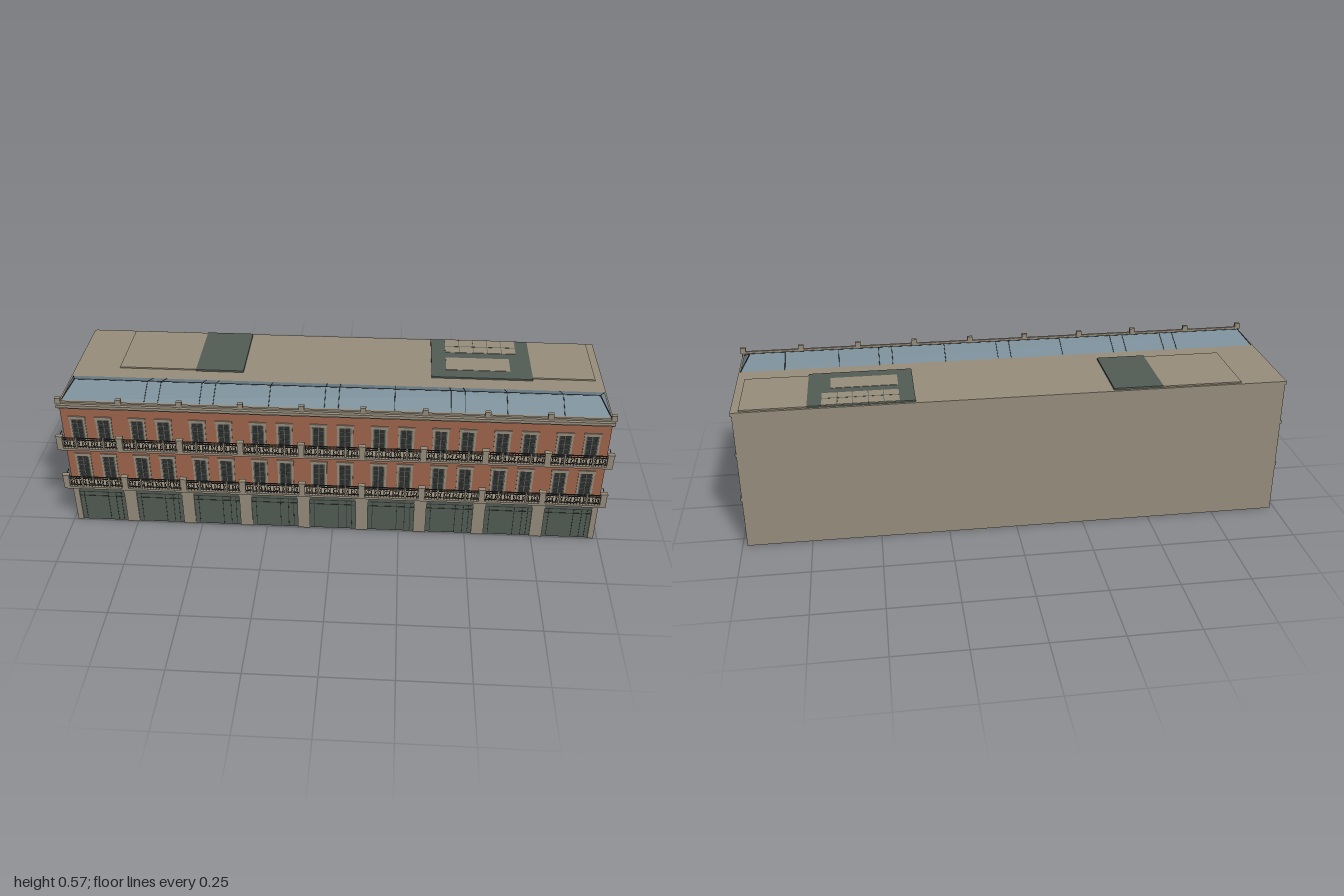
import * as THREE from 'three';

const mat = (name, color) => {
  const m = new THREE.MeshStandardMaterial({ color });
  m.name = name;
  return m;
};

export function createModel() {
  const root = new THREE.Group();
  root.name = 'arcadeBuilding';
  const stone = mat('stone', 0x988e7d);
  const brick = mat('brick', 0xa0664c);
  const slate = mat('slateGreen', 0x535d55);
  const glass = mat('skylightGlass', 0x768a95);
  const dark = mat('darkIron', 0x2d2f2d);

  const add = (parent, name, geo, m) => {
    const mesh = new THREE.Mesh(geo, m);
    mesh.name = name;
    parent.add(mesh);
    return mesh;
  };
  // box given by its min and max corners
  const box = (parent, name, m, x0, x1, y0, y1, z0, z1) => {
    const mesh = add(parent, name, new THREE.BoxGeometry(x1 - x0, y1 - y0, z1 - z0), m);
    mesh.position.set((x0 + x1) / 2, (y0 + y1) / 2, (z0 + z1) / 2);
    return mesh;
  };
  const group = (name) => {
    const g = new THREE.Group();
    g.name = name;
    root.add(g);
    return g;
  };

  const pitch = 0.2193, bays = 9, W = 0.985;
  const pillarX = (i) => (i - bays / 2) * pitch;
  const bayX = (i) => (i - (bays - 1) / 2) * pitch;

  // main block with brick faces on front and sides
  box(root, 'body', stone, -W + 0.002, W - 0.002, 0, 0.53, -0.3, 0.243);
  const floors = [[0.023, 0.185], [0.197, 0.36], [0.371, 0.517]];
  floors.forEach(([y0, y1], i) => {
    if (i > 0) box(root, 'frontBrick', brick, -W, W, y0, y1, 0.24, 0.246);
    for (const s of [-1, 1]) {
      const x = s * (W - 0.002);
      box(root, 'sideBrick', brick, x - 0.002, x + 0.002, y0, y1, -0.287, 0.245);
    }
  });
  for (const [y0, y1] of [[0.185, 0.197], [0.36, 0.371], [0.517, 0.53]])
    box(root, 'floorBand', stone, -W - 0.003, W + 0.003, y0, y1, -0.299, 0.249);

  // shopfronts between stone pillars
  const shops = group('shopfronts');
  for (let i = 0; i <= bays; i++) {
    const x = pillarX(i);
    box(shops, 'pillar', stone, Math.max(x - 0.023, -W), Math.min(x + 0.023, W), 0, 0.187, 0.235, 0.249);
  }
  for (let i = 0; i < bays; i++) {
    const x = bayX(i), h = 0.087;
    box(shops, 'shopPanel', slate, x - h, x + h, 0, 0.185, 0.24, 0.2445);
    box(shops, 'shopSignBoard', slate, x - h, x + h, 0.136, 0.185, 0.243, 0.2475);
    box(shops, 'shopTransom', dark, x - h, x + h, 0.132, 0.136, 0.243, 0.247);
    box(shops, 'shopRail', dark, x - h, x + h, 0.113, 0.1145, 0.243, 0.246);
    for (const dx of [-0.07, 0.022, 0.052, 0.072])
      box(shops, 'shopMullion', dark, x + dx - 0.001, x + dx + 0.001, 0.004, 0.132, 0.243, 0.246);
  }

  // tall balcony windows, two per bay on each upper floor
  const windows = group('frontWindows');
  const frontWindow = (x, y0, y1) => {
    const w = 0.022, t = 0.007, zf = 0.249;
    box(windows, 'windowPane', dark, x - w, x + w, y0, y1, 0.243, 0.247);
    for (const s of [-1, 1]) {
      const e = x + s * (w + t / 2);
      box(windows, 'windowJamb', stone, e - t / 2, e + t / 2, y0, y1, 0.243, zf);
      const f = x + s * (w - 0.002);
      box(windows, 'windowFrame', slate, f - 0.002, f + 0.002, y0, y1, 0.243, 0.2482);
    }
    box(windows, 'windowLintel', stone, x - w - t - 0.002, x + w + t + 0.002, y1, y1 + 0.012, 0.243, zf + 0.001);
    box(windows, 'windowFrame', slate, x - 0.002, x + 0.002, y0, y1, 0.243, 0.2482);
    for (const k of [0.35, 0.6, 0.8]) {
      const y = y0 + (y1 - y0) * k;
      box(windows, 'windowBar', slate, x - w, x + w, y - 0.001, y + 0.001, 0.243, 0.248);
    }
  };
  for (let i = 0; i < bays; i++)
    for (const dx of [-0.05, 0.046]) {
      frontWindow(bayX(i) + dx, 0.197, 0.301);
      frontWindow(bayX(i) + dx, 0.371, 0.464);
    }

  // curved bracket profile, drawn in (z, y) from the wall outwards
  const profile = new THREE.Shape();
  profile.moveTo(0.243, 0);
  profile.lineTo(0.298, 0);
  profile.lineTo(0.298, -0.009);
  profile.quadraticCurveTo(0.254, -0.012, 0.247, -0.042);
  profile.lineTo(0.243, -0.042);
  profile.closePath();
  const bracketGeo = new THREE.ExtrudeGeometry(profile, { depth: 0.008, bevelEnabled: false, curveSegments: 8 });
  bracketGeo.translate(0, 0, -0.004);
  bracketGeo.rotateY(-Math.PI / 2);

  // continuous balconies with posts, iron railings and paired brackets
  const balconies = group('balconies');
  for (const y of [0.195, 0.369]) {
    box(balconies, 'balconySlab', stone, -0.995, 0.995, y - 0.009, y, 0.245, 0.299);
    for (let i = 0; i <= bays; i++) {
      const x = pillarX(i);
      box(balconies, 'balconyPost', stone, x - 0.011, x + 0.011, y, y + 0.049, 0.286, 0.299);
      box(balconies, 'postCap', stone, x - 0.013, x + 0.013, y + 0.047, y + 0.052, 0.283, 0.301);
      for (const dx of [-0.007, 0.007])
        add(balconies, 'bracket', bracketGeo, stone).position.set(x + dx, y, 0);
    }
    for (const s of [-1, 1])
      box(balconies, 'endRail', dark, s * 0.99 - 0.001, s * 0.99 + 0.001, y + 0.04, y + 0.043, 0.247, 0.29);
    for (let i = 0; i < bays; i++) {
      const x = bayX(i);
      for (const [dy, h] of [[0.005, 0.002], [0.033, 0.002], [0.041, 0.003]])
        box(balconies, 'handrail', dark, x - 0.098, x + 0.098, y + dy, y + dy + h, 0.291, 0.294);
      for (let k = 0; k < 18; k++) {
        const bx = x - 0.0935 + k * 0.011;
        box(balconies, 'baluster', dark, bx - 0.001, bx + 0.001, y, y + 0.041, 0.2915, 0.2935);
      }
      for (let k = 0; k < 6; k++)
        add(balconies, 'railScroll', new THREE.TorusGeometry(0.009, 0.0013, 4, 10), dark)
          .position.set(x - 0.0825 + k * 0.033, y + 0.019, 0.2925);
      for (const dx of [-0.05, 0.05])
        box(balconies, 'railPost', stone, x + dx - 0.003, x + dx + 0.003, y, y + 0.044, 0.289, 0.296);
    }
  }

  // cornice and parapet
  const parapet = group('parapet');
  box(parapet, 'cornice', stone, -0.992, 0.992, 0.519, 0.53, 0.235, 0.261);
  box(parapet, 'corniceMoulding', stone, -0.989, 0.989, 0.511, 0.519, 0.235, 0.253);
  box(parapet, 'parapetRail', stone, -0.985, 0.985, 0.53, 0.537, 0.24, 0.249);
  for (let i = 0; i <= bays; i++) {
    const x = pillarX(i);
    box(parapet, 'parapetPost', stone, x - 0.01, x + 0.01, 0.53, 0.553, 0.238, 0.251);
  }

  // hipped skylight
  const skylight = group('skylight');
  const X0 = 0.982, X1 = 0.95, z0 = 0.057, zr = 0.14, z1 = 0.223, yb = 0.53, yr = 0.568;
  const hip = new THREE.BufferGeometry();
  const A = [-X0, yb, z1], B = [X0, yb, z1], C = [X0, yb, z0], D = [-X0, yb, z0];
  const L = [-X1, yr, zr], R = [X1, yr, zr];
  const tris = [A, B, R, A, R, L, C, D, L, C, L, R, B, C, R, D, A, L];
  hip.setAttribute('position', new THREE.Float32BufferAttribute(tris.flat(), 3));
  hip.computeVertexNormals();
  add(skylight, 'skylightGlass', hip, glass);
  const strut = (a, b, r) => {
    const va = new THREE.Vector3(...a), vb = new THREE.Vector3(...b);
    add(skylight, 'glazingBar', new THREE.TubeGeometry(new THREE.LineCurve3(va, vb), 1, r, 4), dark);
  };
  strut(L, R, 0.0012);
  for (const [p, q] of [[A, L], [D, L], [B, R], [C, R]]) strut(p, q, 0.0015);
  for (const x of [-0.68, -0.63, -0.48, -0.43, -0.23, -0.03, 0.02, 0.22, 0.42, 0.47, 0.62, 0.82]) {
    strut([x, yb, z1], [x, yr, zr], 0.001);
    strut([x, yb, z0], [x, yr, zr], 0.001);
  }

  // raised roof decks and hatches
  const roof = group('roofDecks');
  box(roof, 'leftDeck', stone, -0.82, -0.53, 0.529, 0.535, -0.291, -0.01);
  box(roof, 'leftSlateDeck', slate, -0.53, -0.35, 0.529, 0.537, -0.291, -0.004);
  box(roof, 'rightSlateDeck', slate, 0.355, 0.73, 0.529, 0.536, -0.291, -0.008);
  box(roof, 'rightDeck', stone, 0.73, 0.96, 0.529, 0.535, -0.291, -0.022);
  box(roof, 'rearHatch', stone, 0.41, 0.68, 0.535, 0.5375, -0.29, -0.19);
  box(roof, 'frontHatch', stone, 0.41, 0.65, 0.535, 0.5375, -0.15, -0.06);
  box(roof, 'hatchJoint', slate, 0.41, 0.68, 0.5365, 0.538, -0.238, -0.234);
  for (let k = 1; k < 5; k++)
    box(roof, 'hatchJoint', slate, 0.409 + k * 0.054, 0.411 + k * 0.054, 0.5365, 0.538, -0.29, -0.19);

  // small windows and pilaster strips on the left-facing end wall
  const side = group('endWallWindows');
  const endWindows = [[-0.26, 0.455, 0.044], [-0.14, 0.455, 0.044], [0.01, 0.465, 0.066], [0.12, 0.462, 0.046],
    [-0.235, 0.282, 0.06], [-0.02, 0.285, 0.054], [0.135, 0.288, 0.06]];
  for (const [z, y, h] of endWindows) {
    box(side, 'windowSurround', stone, -W - 0.002, -W + 0.003, y - h / 2 - 0.004, y + h / 2 + 0.004, z - 0.024, z + 0.024);
    box(side, 'endWindowPane', dark, -W - 0.003, -W + 0.003, y - h / 2, y + h / 2, z - 0.019, z + 0.019);
    box(side, 'endWindowBar', slate, -W - 0.004, -W + 0.003, y - h / 2, y + h / 2, z - 0.0015, z + 0.0015);
  }
  box(side, 'wallStrip', stone, -W - 0.002, -W + 0.003, 0.197, 0.36, -0.175, -0.167);
  box(side, 'wallStrip', stone, -W - 0.002, -W + 0.003, 0.371, 0.517, 0.06, 0.067);

  return root;
}
